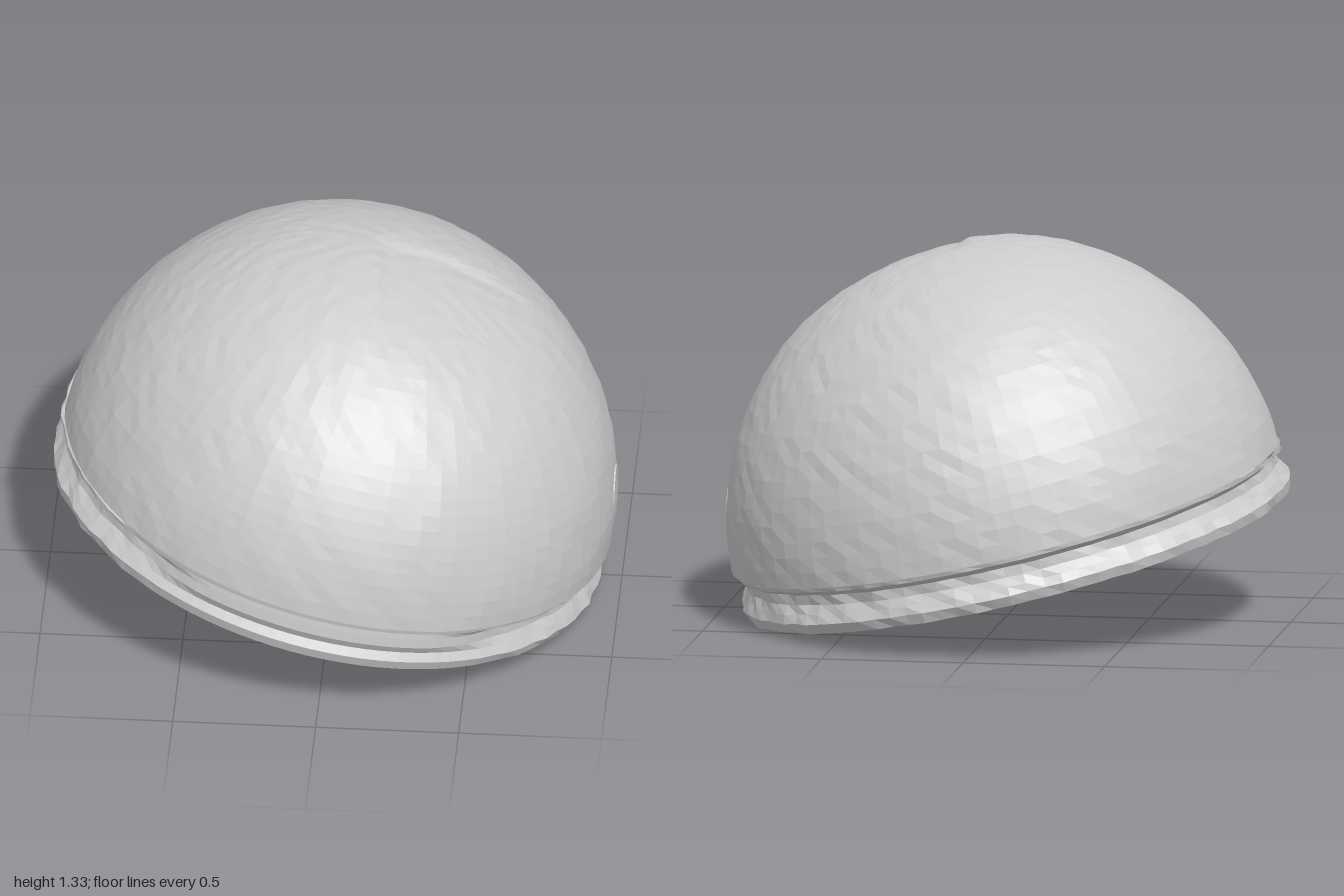
import * as THREE from 'three';

const CENTRE = new THREE.Vector3(0.015, 0.36, 0);
const R = 0.982;
const TILT = new THREE.Quaternion().setFromUnitVectors(
  new THREE.Vector3(0, 1, 0), new THREE.Vector3(0.235, 1, -0.06).normalize());

const material = new THREE.MeshStandardMaterial({ color: 0xcccccc, flatShading: true, side: THREE.DoubleSide });
const step = THREE.MathUtils.smoothstep;

// Elliptic arc about the dome centre, from angle a to b above the equator
function arc(rx, ry, a, b, n) {
  return Array.from({ length: n + 1 }, (_, i) => {
    const t = a + (b - a) * i / n;
    return [Math.max(0, rx * Math.cos(t)), ry * Math.sin(t)];
  });
}

// Continuous pseudo-random roughness in -1..1
function rough(p) {
  return Math.sin(p.x * 37 + Math.sin(p.z * 23) * 2) * Math.sin(p.z * 41 + p.y * 29 + Math.sin(p.x * 19));
}

// Turned part in the tilted frame, with every vertex moved radially by offset(p)
function turned(name, points, segments, offset) {
  const geo = new THREE.LatheGeometry(points.map(([x, y]) => new THREE.Vector2(x, y)), segments);
  geo.applyQuaternion(TILT);
  const pos = geo.attributes.position;
  const p = new THREE.Vector3();
  for (let i = 0; i < pos.count; i++) {
    p.fromBufferAttribute(pos, i);
    p.multiplyScalar(1 + offset(p));
    pos.setXYZ(i, p.x, p.y, p.z);
  }
  geo.computeVertexNormals();
  const mesh = new THREE.Mesh(geo, material);
  mesh.name = name;
  return mesh;
}

// Shallow recessed panel on one side of the crown, fading out downwards
function crownPanel(p) {
  if (p.y < 0) return 0;
  return -0.017 * step(p.x, 0.14, 0.2) * step(p.z, -0.12, -0.07)
    * (1 - step(p.x, 0.45, 0.8)) * (1 - step(p.z, 0.1, 0.5));
}

// The groove above the rim fades into the dome at the front; the lip is ragged
function rimWear(p) {
  const r = p.length();
  if (r < 0.9) return 0.002 * rough(p);
  const groove = r < 0.96 ? 0.035 * step(p.z, 0.68, 0.88) : 0;
  return groove + 0.008 * rough(p) * (1 - step(p.z, 0.5, 0.9));
}

export function createModel() {
  const model = new THREE.Group();
  model.name = 'tiltedHelmet';
  const body = new THREE.Group();
  body.name = 'helmetBody';
  body.position.copy(CENTRE);
  model.add(body);

  // Outer dome
  body.add(turned('domeShell', arc(R, R, 0.04, Math.PI / 2, 28), 84,
    p => crownPanel(p) + 0.0025 * rough(p)));

  // Rim: inner wall, flat underside, lip, groove and the overhang of the dome
  const rim = [[0.81, 0.02], [0.805, -0.12], [0.972, -0.127], [0.985, -0.09],
    [0.968, -0.06], [0.95, -0.03], [0.948, 0.005], [0.979, 0.025], [R, 0.04]];
  const rimMesh = turned('rimBand', rim, 96, rimWear);
  rimMesh.position.x = -0.008;
  body.add(rimMesh);

  // Thick inner liner: closed crown, wall, and a sloping underside out to the rim wall
  body.add(turned('innerLiner', [...arc(0.615, 0.7, Math.PI / 2, 0.21, 16), [0.81, 0.02]], 64,
    p => 0.006 * rough(p)));

  // Nearly flush round plate on the low side
  const plate = new THREE.Mesh(new THREE.CylinderGeometry(0.09, 0.1, 0.02, 24), material);
  plate.name = 'sidePlate';
  plate.rotation.z = -Math.PI / 2;
  plate.position.set(R - 0.012, 0.01, 0);
  body.add(plate);

  // Small stud on the liner
  const stud = new THREE.Mesh(new THREE.CylinderGeometry(0.03, 0.03, 0.06, 12), material);
  stud.name = 'linerStud';
  stud.position.set(-0.56, 0.24, -0.07);
  body.add(stud);

  // Stand on the ground, centred
  const box = new THREE.Box3().setFromObject(model, true);
  const c = box.getCenter(new THREE.Vector3());
  body.position.sub(new THREE.Vector3(c.x, box.min.y, c.z));
  return model;
}
